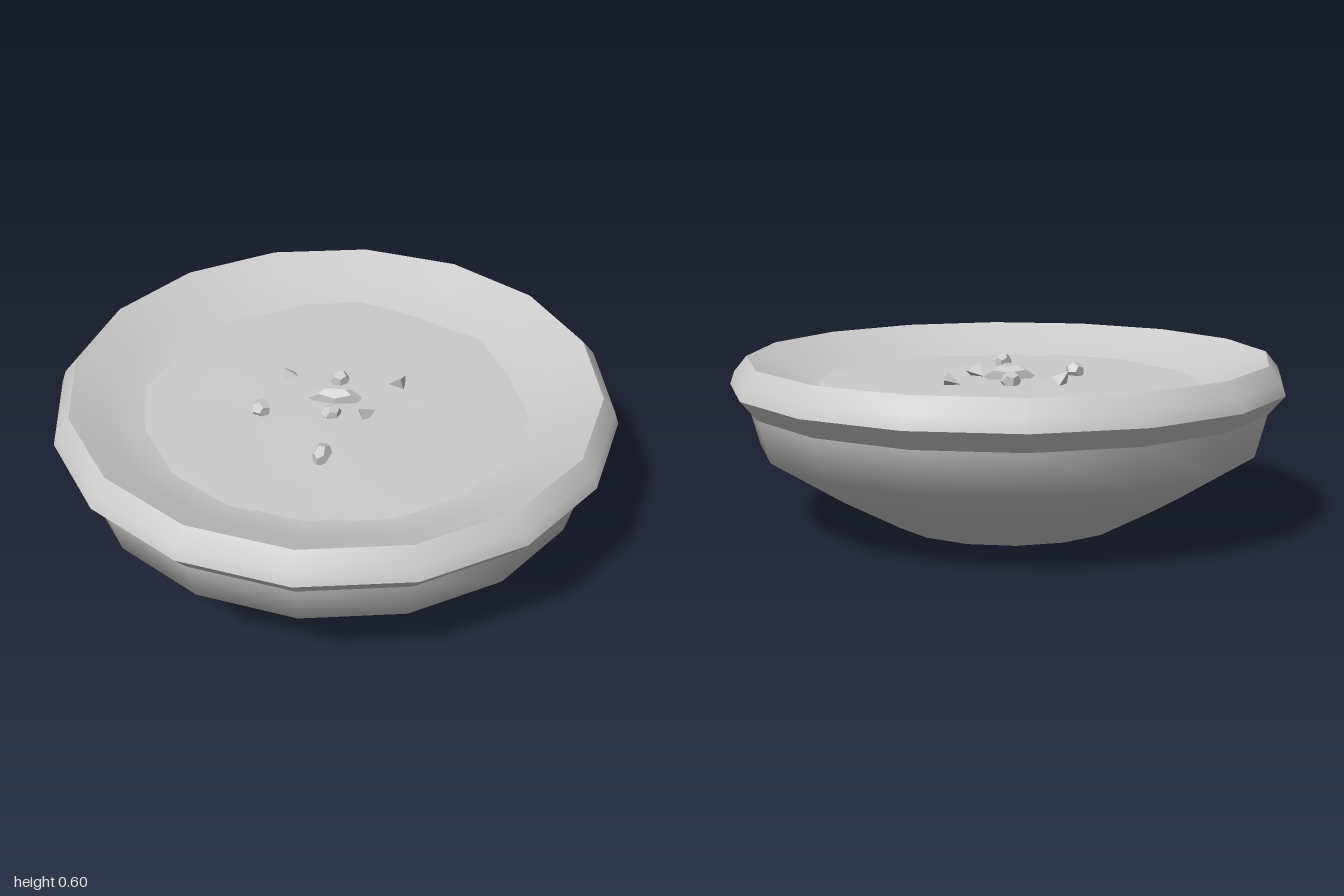
import * as THREE from 'three';

const grey = new THREE.MeshStandardMaterial({ color: 0xcccccc, side: THREE.DoubleSide });
const facet = new THREE.MeshStandardMaterial({ color: 0xcccccc, flatShading: true });

function mesh(name, geometry, material = grey) {
  const m = new THREE.Mesh(geometry, material);
  m.name = name;
  return m;
}

// Sixteen-sided turned surface from [radius, height] pairs
function turned(name, profile, sides = 16) {
  const points = profile.map(([r, y]) => new THREE.Vector2(r, y));
  return mesh(name, new THREE.LatheGeometry(points, sides));
}

export function createModel() {
  const model = new THREE.Group();

  // Bowl: separate bands keep the lip edges sharp; the foot is open below
  const bowl = new THREE.Group();
  bowl.name = 'bowl';
  bowl.add(
    turned('bowlWall', [[0.43, 0], [0.64, 0.115], [0.9, 0.28], [0.94, 0.43]]),
    turned('lipUnderside', [[0.94, 0.43], [1, 0.5]]),
    turned('lip', [[1, 0.5], [0.985, 0.545], [0.94, 0.6]]),
    turned('bowlInside', [[0.94, 0.6], [0.82, 0.55], [0.68, 0.498], [0.4, 0.465], [0, 0.455]])
  );
  model.add(bowl);

  // Gently rippled filling whose edge sinks into the bowl wall
  const filling = turned('filling',
    [[0.74, 0.497], [0.6, 0.501], [0.45, 0.504], [0.3, 0.506], [0.15, 0.508], [0, 0.508]], 24);
  const pos = filling.geometry.attributes.position;
  for (let i = 0; i < pos.count; i++) {
    const x = pos.getX(i), z = pos.getZ(i);
    pos.setY(i, pos.getY(i) + 0.006 * Math.sin(9 * x + 2) * Math.cos(8 * z - 1));
  }
  filling.geometry.computeVertexNormals();
  model.add(filling);

  // Faceted pieces on the filling: x, z, half sizes (x, y, z), turn, pointed
  const pieces = [
    [0, 0, 0.1, 0.04, 0.03, 0.05, false],
    [0, -0.12, 0.038, 0.035, 0.028, 0.3, false],
    [0, 0.34, 0.032, 0.035, 0.052, -0.2, false],
    [0, 0.095, 0.038, 0.035, 0.032, 0.8, false],
    [-0.25, 0.1, 0.036, 0.035, 0.036, 1.2, false],
    [-0.18, -0.12, 0.042, 0.042, 0.042, 0.4, true],
    [0.22, -0.12, 0.042, 0.042, 0.042, 2.1, true],
    [0.115, 0.085, 0.042, 0.042, 0.042, 1.3, true],
  ];
  const chunks = new THREE.Group();
  chunks.name = 'chunks';
  for (const [x, z, sx, sy, sz, turn, pointed] of pieces) {
    const shape = pointed ? new THREE.TetrahedronGeometry(1).rotateX(0.5)
      : new THREE.DodecahedronGeometry(1).scale(1, 1, 1);
    shape.scale(sx, sy, sz).rotateY(turn);
    const chunk = mesh('chunk', shape, facet);
    chunk.position.set(x, 0.52, z);
    chunks.add(chunk);
  }
  model.add(chunks);
  return model;
}
